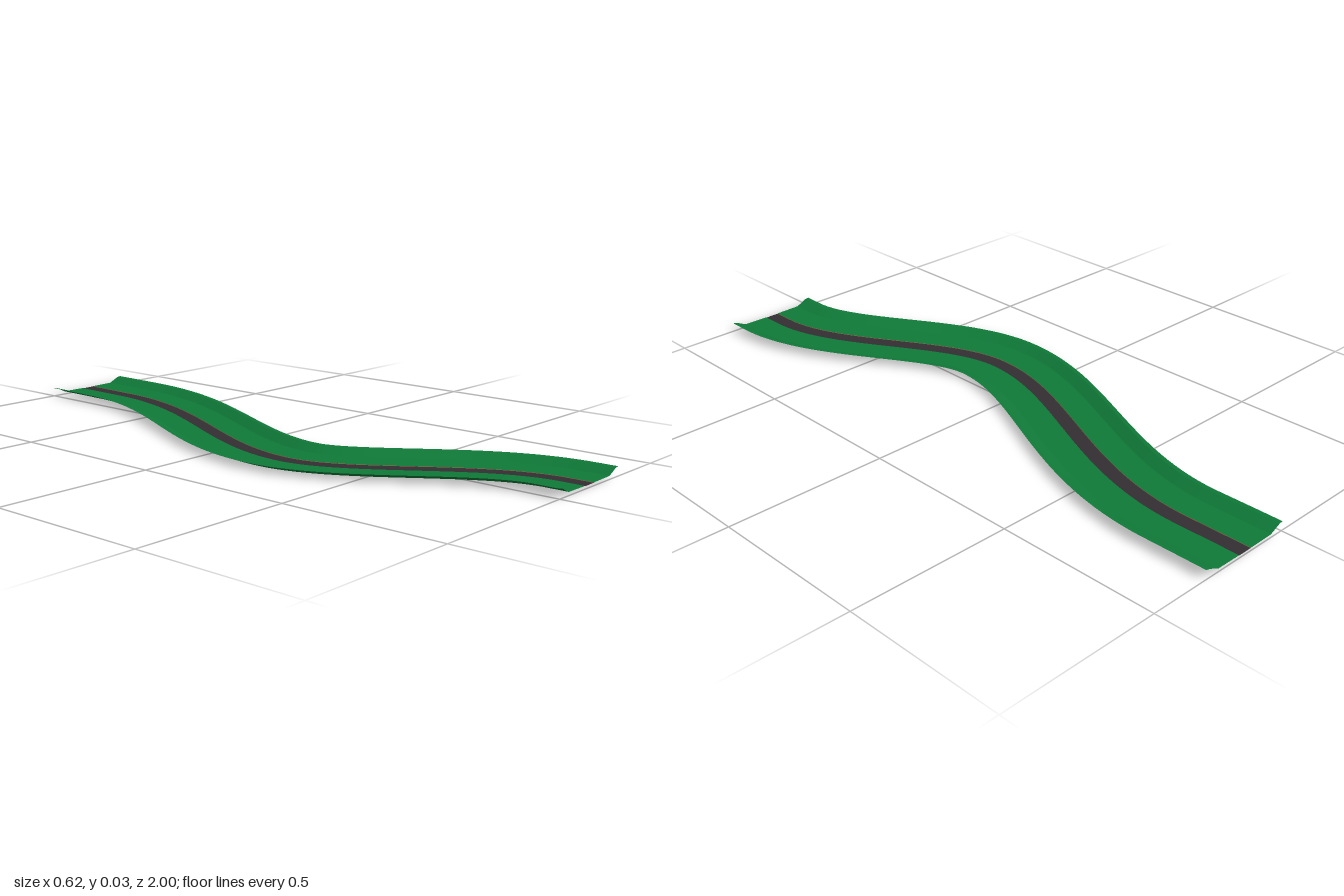
import * as THREE from 'three';

const grassMat = new THREE.MeshStandardMaterial({ name: 'grassGreen', color: 0x0f7a38, side: THREE.DoubleSide });
const pathMat = new THREE.MeshStandardMaterial({ name: 'asphaltGrey', color: 0x322e32, side: THREE.DoubleSide });
const soilMat = new THREE.MeshStandardMaterial({ name: 'soilBrown', color: 0x9a6a45, side: THREE.DoubleSide });

// Winding centre line seen from above: (x, z)
function centreLine() {
  const v = (x, z) => new THREE.Vector2(x, z);
  const path = new THREE.CurvePath();
  path.add(new THREE.LineCurve(v(0.153, -1), v(0.153, -0.8)));
  path.add(new THREE.CubicBezierCurve(v(0.153, -0.8), v(0.153, -0.42), v(-0.155, -0.1), v(-0.155, 0.2)));
  path.add(new THREE.CubicBezierCurve(v(-0.155, 0.2), v(-0.155, 0.44), v(0.153, 0.66), v(0.153, 0.93)));
  path.add(new THREE.LineCurve(v(0.153, 0.93), v(0.153, 1)));
  return path;
}

// Rings along the path: position, sideways direction and gentle sag in the middle
function makeFrames(count) {
  const path = centreLine();
  const frames = [];
  for (let i = 0; i <= count; i++) {
    const u = i / count;
    const p = path.getPointAt(u);
    const t = path.getTangentAt(u);
    const s = p.y < 0.2 ? (0.2 - p.y) / 1.2 : (p.y - 0.2) / 0.8;
    frames.push({ x: p.x, z: p.y, sx: t.y, sz: -t.x, y: 0.002 + 0.008 * THREE.MathUtils.smoothstep(s, 0, 1) });
  }
  return frames;
}

// One smooth band swept between two section points [offset, height]
function band(frames, a, b, material, name) {
  const pos = [];
  const index = [];
  frames.forEach((f, i) => {
    for (const [o, h] of [a, b]) pos.push(f.x + f.sx * o, f.y + h, f.z + f.sz * o);
    if (i) {
      const k = 2 * i;
      index.push(k - 2, k, k - 1, k - 1, k, k + 1);
    }
  });
  const g = new THREE.BufferGeometry();
  g.setAttribute('position', new THREE.Float32BufferAttribute(pos, 3));
  g.setIndex(index);
  g.computeVertexNormals();
  const mesh = new THREE.Mesh(g, material);
  mesh.name = name;
  return mesh;
}

export function createModel() {
  const group = new THREE.Group();
  group.name = 'windingTrack';
  const frames = makeFrames(120);

  // Half section, from the raised rim down to the path edge
  const half = [[0.155, 0.018], [0.143, 0.0165], [0.108, 0], [0.024, -0.001]];
  const names = ['Rim', 'Bank', 'Verge'];

  for (const side of [-1, 1]) {
    const label = side > 0 ? 'left' : 'right';
    const pts = half.map(([o, h]) => [o * side, h]);
    names.forEach((n, i) => {
      const [a, b] = side < 0 ? [pts[i], pts[i + 1]] : [pts[i + 1], pts[i]];
      group.add(band(frames, a, b, grassMat, label + n));
    });
    // Tiny soil step where the verge meets the path
    const top = [0.024 * side, -0.001];
    const low = [0.0232 * side, -0.002];
    group.add(band(frames, side < 0 ? top : low, side < 0 ? low : top, soilMat, label + 'SoilEdge'));
  }

  // Dark path along the middle
  group.add(band(frames, [-0.0232, -0.002], [0.0232, -0.002], pathMat, 'centrePath'));
  return group;
}
